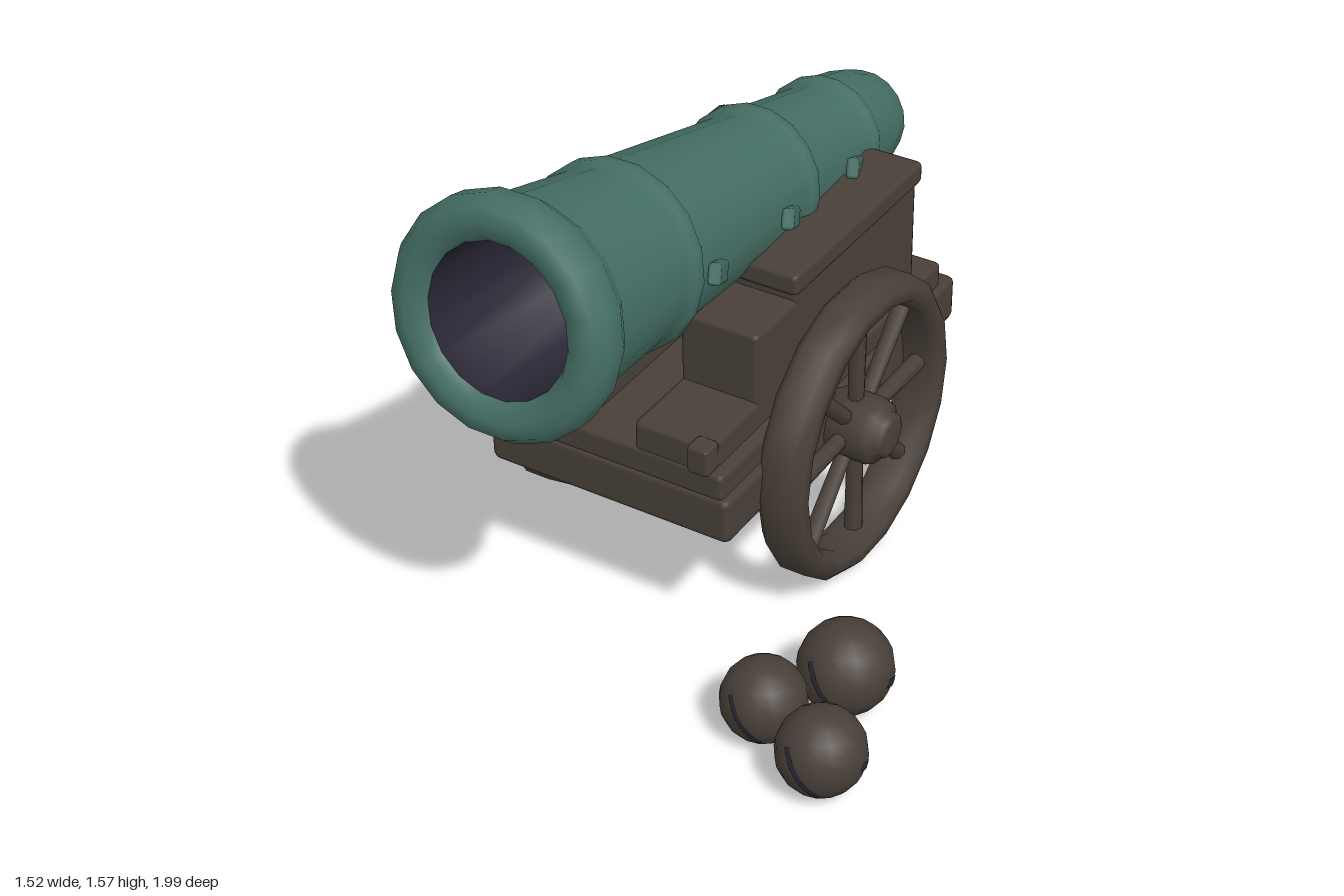
import * as THREE from 'three';
import { RoundedBoxGeometry } from 'three/addons/geometries/RoundedBoxGeometry.js';

const mat = (name, color) => Object.assign(new THREE.MeshStandardMaterial({ color }), { name });
const CX = -0.21; // centre line of the gun

export function createModel() {
  const metal = mat('green bronze', 0x446e64);
  const wood = mat('dark wood and iron', 0x483f38);
  const dark = mat('bore shadow', 0x282634);
  const model = new THREE.Group();
  model.name = 'cannon';

  const add = (parent, name, geo, material, x = 0, y = 0, z = 0) => {
    const m = new THREE.Mesh(geo, material);
    m.name = name;
    m.position.set(x, y, z);
    parent.add(m);
    return m;
  };
  // Bevelled box given by its extents
  const block = (parent, name, [x0, x1], [y0, y1], [z0, z1], bevel = 0.018) =>
    add(parent, name, new RoundedBoxGeometry(x1 - x0, y1 - y0, z1 - z0, 1, bevel), wood,
      (x0 + x1) / 2, (y0 + y1) / 2, (z0 + z1) / 2);
  const lathe = (pts, n, start = 0) =>
    new THREE.LatheGeometry(pts.map(p => new THREE.Vector2(...p)), n, start);

  // Barrel: lathed along its own axis, muzzle at the group's origin
  const tilt = 0.166;
  const barrel = new THREE.Group();
  barrel.name = 'barrel';
  barrel.position.set(CX, 1.255, 0.95);
  barrel.rotation.x = Math.PI / 2 - tilt;
  model.add(barrel);
  add(barrel, 'barrelShell', lathe([
    [0, -1.965], [0.1, -1.955], [0.14, -1.9], [0.165, -1.81], [0.178, -1.68],
    [0.19, -1.655], [0.19, -1.625], [0.172, -1.595],
    [0.196, -1.285], [0.218, -1.25], [0.218, -1.215], [0.2, -1.18],
    [0.248, -0.59], [0.268, -0.56], [0.268, -0.525], [0.252, -0.495],
    [0.285, -0.165], [0.298, -0.145], [0.325, -0.1], [0.328, -0.045], [0.303, -0.004],
    [0.265, 0.003], [0.225, -0.008], [0.21, -0.03],
  ], 18, Math.PI / 2), metal);
  add(barrel, 'bore', lathe([[0.21, -0.03], [0.205, -0.5], [0, -0.5]], 18, Math.PI / 2), dark);

  // Studs along both flanks of the barrel
  for (const side of [-1, 1]) {
    for (const [z, y, r] of [[0.32, 1.15, 0.26], [-0.11, 1.078, 0.225], [-0.53, 1.015, 0.19]]) {
      const stud = add(model, 'barrelStud', new RoundedBoxGeometry(0.036, 0.06, 0.13, 1, 0.01),
        metal, CX + side * r, y, z);
      stud.rotation.set(-0.47, side * 0.38, 0, 'YXZ');
    }
  }

  // Carriage bed
  const carriage = new THREE.Group();
  carriage.name = 'carriage';
  model.add(carriage);
  block(carriage, 'lowerBed', [-0.6, 0.175], [0.41, 0.555], [-0.82, 0.485], 0.022);
  block(carriage, 'upperBed', [-0.58, 0.155], [0.54, 0.63], [-0.76, 0.48]);

  // Mirrored cheeks: wall, top rail, front step and end lug
  for (const s of [-1, 1]) {
    const span = (a, b) => [CX + s * a, CX + s * b].sort((p, q) => p - q);
    block(carriage, 'cheek', span(0.085, 0.33), [0.6, 0.925], [-0.65, 0.24]);
    block(carriage, 'cheekTop', span(0.085, 0.33), [0.85, 0.96], [-0.65, 0.04]);
    block(carriage, 'cheekRail', span(0.08, 0.342), [0.945, 1.015], [-0.665, 0.055]);
    block(carriage, 'cheekStep', span(0.085, 0.33), [0.6, 0.71], [0.2, 0.475]);
    block(carriage, 'cheekLug', span(0.27, 0.335), [0.63, 0.715], [0.44, 0.505], 0.01);
  }

  // Axle
  const axle = add(carriage, 'axle', new THREE.CylinderGeometry(0.08, 0.08, 0.8, 12), wood, CX, 0.455, -0.125);
  axle.rotation.z = Math.PI / 2;

  // Wheels: built lying flat with the outer face up, then stood on edge
  const rimGeo = lathe([
    [0.385, -0.07], [0.42, -0.07], [0.452, -0.04], [0.452, 0.04], [0.42, 0.07],
    [0.385, 0.07], [0.365, 0.04], [0.365, -0.04], [0.385, -0.07],
  ], 18);
  const hubGeo = lathe([
    [0, -0.09], [0.1, -0.09], [0.1, 0.06], [0.09, 0.085], [0.068, 0.095],
    [0.066, 0.112], [0.05, 0.12], [0, 0.122],
  ], 12);
  const spokeGeo = new THREE.CylinderGeometry(0.028, 0.024, 0.32, 8);
  spokeGeo.rotateX(Math.PI / 2).translate(0, 0, 0.225);
  for (const s of [-1, 1]) {
    const wheel = new THREE.Group();
    wheel.name = s > 0 ? 'leftWheel' : 'rightWheel';
    wheel.position.set(CX + s * 0.432, 0.455, -0.125);
    wheel.rotation.z = -s * Math.PI / 2;
    model.add(wheel);
    add(wheel, 'rim', rimGeo, wood);
    add(wheel, 'hub', hubGeo, wood);
    for (let i = 0; i < 8; i++) add(wheel, 'spoke', spokeGeo, wood).rotation.y = i * Math.PI / 4;
  }

  // Cannonballs, each with thin curved gashes on the front and the outer side
  const gash = (r, length, width) => new THREE.SphereGeometry(r * 1.008, 8, 2,
    Math.PI / 2 - length / 2, length, Math.PI / 2 - width / 2, width);
  for (const [x, z, r] of [[0.527, 0.46, 0.134], [0.397, 0.67, 0.12], [0.628, 0.767, 0.124]]) {
    const ball = new THREE.Group();
    ball.name = 'cannonball';
    ball.position.set(x, r, z);
    model.add(ball);
    add(ball, 'ballBody', new THREE.SphereGeometry(r, 16, 12), wood);
    add(ball, 'frontGash', gash(r, 1.4, 0.14), dark).rotation.z = -0.94;
    add(ball, 'sideGash', gash(r, 0.65, 0.2), dark).rotation.set(-0.45, Math.PI / 2 + 0.25, 0, 'XYZ');
  }
  return model;
}
